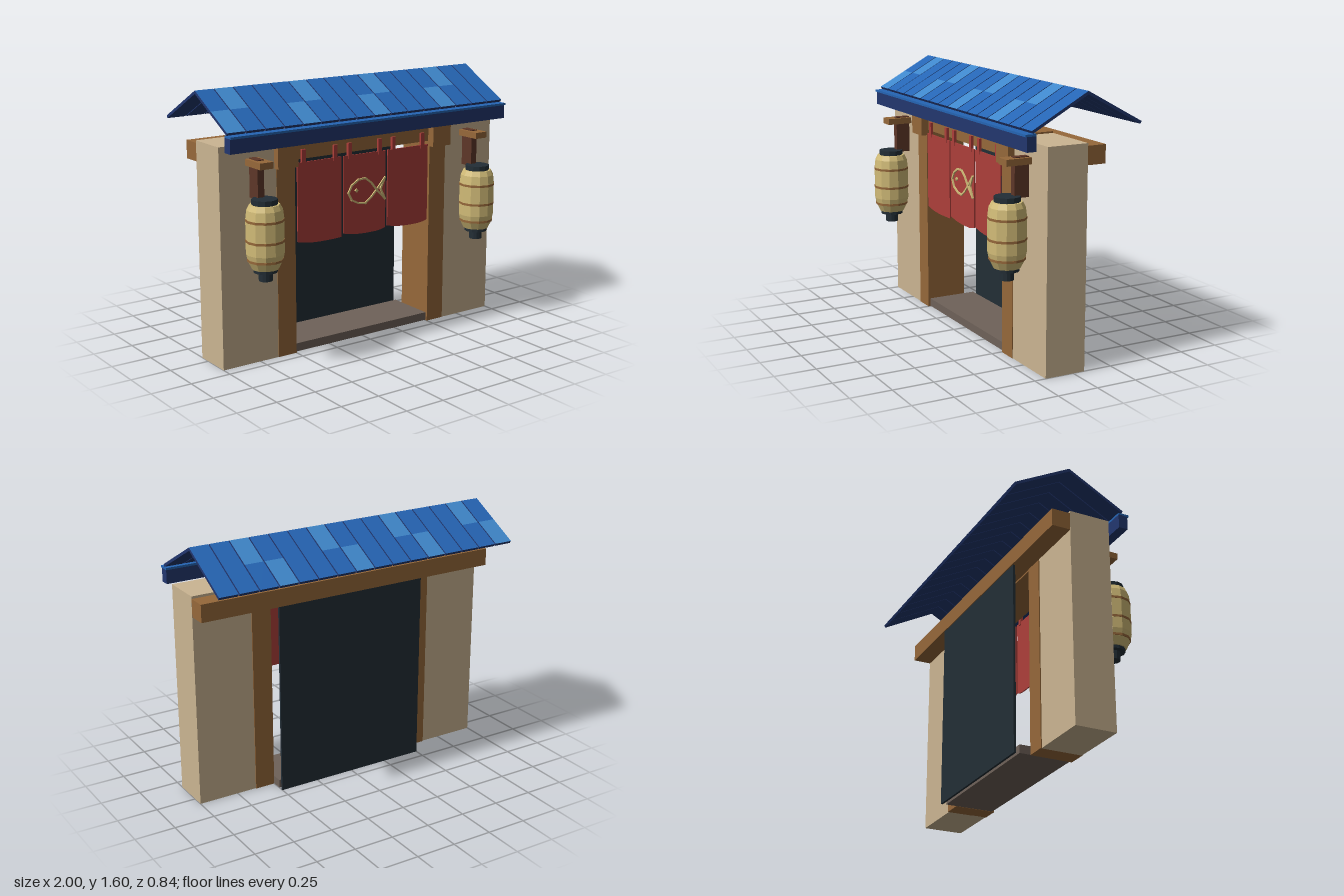
import * as THREE from 'three';

const mat = (name, color, side = THREE.FrontSide) => {
  const m = new THREE.MeshStandardMaterial({ color, flatShading: true, side });
  m.name = name;
  return m;
};

export function createModel() {
  const model = new THREE.Group();
  model.name = 'gateway';
  const tile = mat('tileBlue', 0x2565b4), tileLight = mat('lightTileBlue', 0x3f87cb);
  const navy = mat('navy', 0x22376f), plaster = mat('plaster', 0xcbb592);
  const wood = mat('wood', 0x96683a), darkWood = mat('darkWood', 0x5e3728);
  const charcoal = mat('charcoal', 0x232e36), stone = mat('stone', 0x6f6259);
  const red = mat('redCloth', 0xad3f3a), paper = mat('paper', 0xd2bc78);

  const add = (name, geo, material, parent = model) => {
    const mesh = new THREE.Mesh(geo, material);
    mesh.name = name;
    parent.add(mesh);
    return mesh;
  };
  // Box given by its lower and upper limits on each axis
  const box = (name, material, x0, x1, y0, y1, z0, z1, parent) => {
    const mesh = add(name, new THREE.BoxGeometry(x1 - x0, y1 - y0, z1 - z0), material, parent);
    mesh.position.set((x0 + x1) / 2, (y0 + y1) / 2, (z0 + z1) / 2);
    return mesh;
  };

  // Walls, posts, brackets and lanterns on both sides
  for (const s of [1, -1]) {
    const label = s > 0 ? 'left' : 'right';
    const pair = (name, m, a, b, ...rest) =>
      box(label + name, m, Math.min(s * a, s * b), Math.max(s * a, s * b), ...rest);
    pair('Wall', plaster, 0.62, 1, 0, 1.31, -0.073, 0.18);
    pair('Post', wood, 0.5, 0.625, 0, 1.18, -0.079, 0.184);
    pair('PostBracket', wood, 0.498, 0.637, 1.145, 1.29, 0.0, 0.222);
    pair('LanternArm', wood, 0.743, 0.829, 1.187, 1.225, 0.17, 0.34);
    pair('LanternHanger', darkWood, 0.765, 0.807, 1.0, 1.23, 0.185, 0.275);

    const lantern = new THREE.Group();
    lantern.name = label + 'Lantern';
    lantern.position.set(s * 0.786, 0, 0.31);
    model.add(lantern);
    const profile = [[0, 0.6], [0.078, 0.61], [0.1, 0.655], [0.11, 0.7], [0.11, 0.9], [0.103, 0.955], [0.088, 0.985], [0, 0.985]];
    add('lanternBody', new THREE.LatheGeometry(profile.map(p => new THREE.Vector2(...p)), 12), paper, lantern);
    const ring = (name, r, y0, y1, m) => {
      add(name, new THREE.CylinderGeometry(r, r, y1 - y0, 12), m, lantern).position.y = (y0 + y1) / 2;
    };
    ring('lanternTopCap', 0.075, 0.975, 1.015, charcoal);
    ring('lanternBottomCap', 0.07, 0.59, 0.615, charcoal);
    ring('lanternFoot', 0.04, 0.538, 0.59, charcoal);
    for (const [r, y] of [[0.112, 0.895], [0.112, 0.775], [0.105, 0.663]]) {
      ring('lanternBand', r, y - 0.007, y + 0.007, wood);
    }
  }

  // Beams, back panel and threshold
  box('lintel', wood, -0.5, 0.5, 1.177, 1.268, -0.07, 0.172);
  box('lintelCap', wood, -0.63, 0.63, 1.265, 1.32, -0.072, 0.176);
  box('rearBeam', wood, -0.999, 0.999, 1.187, 1.295, -0.188, 0);
  box('backPanel', charcoal, -0.5, 0.5, 0, 1.19, -0.182, -0.168);
  box('threshold', stone, -0.5, 0.5, 0.002, 0.053, -0.146, 0.17);

  // Cloth curtain: three panels with gently sagging hems
  [-0.328, 0, 0.328].forEach((cx, i) => {
    const s = new THREE.Shape();
    const w = 0.156;
    s.moveTo(-w, 1.16);
    s.lineTo(-w, 0.685);
    s.bezierCurveTo(-0.06, 0.66, 0.03, 0.665, 0.07, 0.665);
    s.quadraticCurveTo(0.12, 0.665, w, i === 0 ? 0.668 : 0.68);
    s.lineTo(w, 1.16);
    const geo = new THREE.ExtrudeGeometry(s, { depth: 0.008, bevelEnabled: false, curveSegments: 5 });
    add('curtainPanel', geo, red).position.set(cx, 0, 0.178);
    for (const t of [-0.112, 0.112]) {
      box('curtainTab', red, cx + t - 0.013, cx + t + 0.013, 1.14, 1.235, 0.173, 0.19);
    }
  });

  // Fish outline on the middle panel, built from thin strokes
  const fish = new THREE.Group();
  fish.name = 'fishEmblem';
  model.add(fish);
  const strokes = (pts) => {
    for (let i = 1; i < pts.length; i++) {
      const [ax, ay] = pts[i - 1], [bx, by] = pts[i];
      const len = Math.hypot(bx - ax, by - ay);
      const m = add('fishStroke', new THREE.BoxGeometry(len + 0.008, 0.011, 0.009), paper, fish);
      m.position.set((ax + bx) / 2, (ay + by) / 2, 0.191);
      m.rotation.z = Math.atan2(by - ay, bx - ax);
    }
  };
  strokes([[0.148, 0.995], [0.085, 0.925], [0.045, 0.885], [0, 0.853], [-0.05, 0.86], [-0.1, 0.885], [-0.125, 0.93],
    [-0.1, 0.975], [-0.05, 1.005], [0, 1.008], [0.045, 0.975], [0.085, 0.925], [0.148, 0.862]]);
  strokes([[0.148, 0.995], [0.115, 0.928], [0.148, 0.862]]);
  const eye = add('fishEye', new THREE.BoxGeometry(0.018, 0.018, 0.009), paper, fish);
  eye.position.set(-0.065, 0.94, 0.191);
  eye.rotation.z = Math.PI / 4;

  // Eave board with a projecting lip
  box('eaveBoard', navy, -1, 1, 1.29, 1.376, 0.252, 0.31);
  box('eaveLip', tile, -1, 1, 1.374, 1.387, 0.252, 0.32);

  // Gabled roof: two rows of tiles on each slope, painted on their upper faces
  const pitch = Math.atan2(0.19, 0.35), slope = 0.4, thick = 0.017;
  for (const s of [1, -1]) {
    const side = new THREE.Group();
    side.name = s > 0 ? 'frontRoofSlope' : 'rearRoofSlope';
    side.position.set(0, 1.595, -0.07);
    side.rotation.x = s * pitch;
    model.add(side);
    for (let i = 0; i < 16; i++) {
      for (const row of [0, 1]) {
        const top = i % 4 === (row ? 0 : 1) ? tileLight : tile;
        const geo = new THREE.BoxGeometry(0.118, thick, slope / 2);
        const m = add('roofTile', geo, [navy, navy, top, navy, navy, navy], side);
        m.position.set(-1 + 0.059 + i * (1.882 / 15), -thick / 2, s * slope * (row + 0.5) / 2);
      }
    }
  }
  return model;
}
